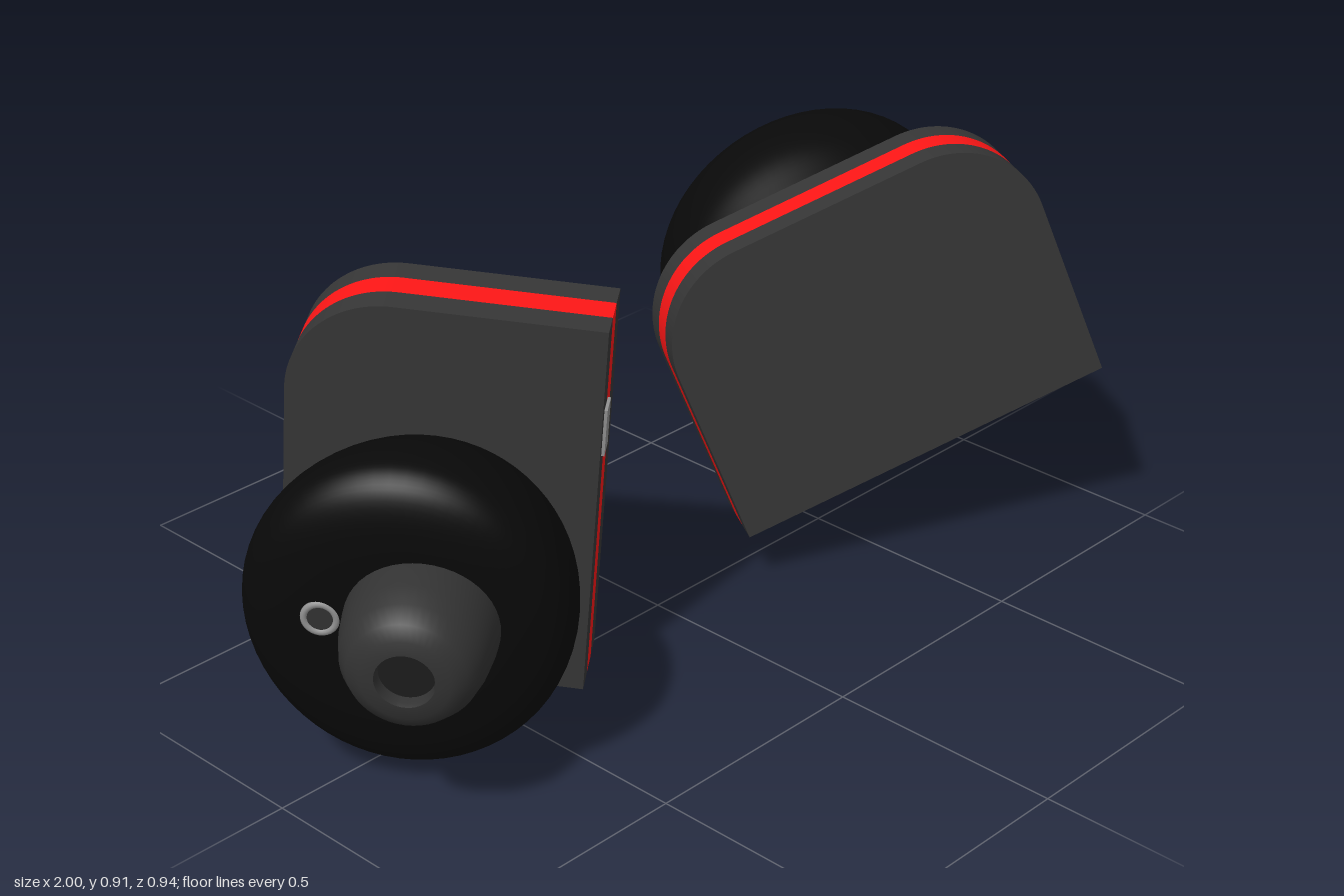
import * as THREE from 'three';
import { toCreasedNormals } from 'three/addons/utils/BufferGeometryUtils.js';

const mat = (color) => new THREE.MeshStandardMaterial({ color });
const shellMat = mat(0x363636), redMat = mat(0xfc1616), bodyMat = mat(0x090909);
const nozzleMat = mat(0x333333), metalMat = mat(0x909090), holeMat = mat(0x1c1c1c);

const WIDTH = 0.81, HEIGHT = 0.6, LAYER = 0.0563;

function add(parent, name, geometry, material, x = 0, y = 0, z = 0) {
  const mesh = new THREE.Mesh(geometry, material);
  mesh.name = name;
  mesh.position.set(x, y, z);
  parent.add(mesh);
  return mesh;
}

// Lathe turned so that its axis runs along z
function turned(points, segments = 64) {
  const pts = points.map(([r, z]) => new THREE.Vector2(r, z));
  return new THREE.LatheGeometry(pts, segments).rotateX(Math.PI / 2);
}

// Plate outline: square corners on the lower edge, round ones on the upper edge
function plateShape() {
  const w = WIDTH / 2, h = HEIGHT / 2, r = 0.2;
  const s = new THREE.Shape();
  s.moveTo(-w, -h);
  s.lineTo(w, -h);
  s.lineTo(w, h - r);
  s.absarc(w - r, h - r, r, 0, Math.PI / 2, false);
  s.lineTo(-w + r, h);
  s.absarc(-w + r, h - r, r, Math.PI / 2, Math.PI, false);
  s.closePath();
  return s;
}

// Ear-side shell: flares from the plate to a wide, slanted face
function bodyGeometry() {
  const profile = [[0.13, 0.16], [0.19, 0.215], [0.236, 0.28], [0.277, 0.345], [0.3, 0.41],
    [0.307, 0.47], [0.297, 0.515], [0.265, 0.55], [0.2, 0.573], [0.1, 0.584], [0.001, 0.587]];
  const curve = new THREE.SplineCurve(profile.map(([r, z]) => new THREE.Vector2(r, z)));
  const g = turned(curve.getPoints(50).map((p) => [Math.max(p.x, 0), p.y]));
  const p = g.attributes.position;
  for (let i = 0; i < p.count; i++) {
    const x = p.getX(i), y = p.getY(i), z = p.getZ(i);
    const k = THREE.MathUtils.smoothstep(z, 0.17, 0.5);
    p.setX(i, x * (x > 0 ? 1.11 : 1.1) - 0.04 + 0.02 * k);
    p.setY(i, y - 0.03 * (1 - k));
    p.setZ(i, z + (0.08 * x + 0.17 * x * x) * k);
  }
  g.computeVertexNormals();
  // Close the shading seam of the lathe
  const n = g.attributes.normal, row = 51;
  for (let j = 0; j < row; j++) {
    const a = new THREE.Vector3().fromBufferAttribute(n, j);
    const b = new THREE.Vector3().fromBufferAttribute(n, p.count - row + j);
    a.add(b).normalize();
    n.setXYZ(j, a.x, a.y, a.z);
    n.setXYZ(p.count - row + j, a.x, a.y, a.z);
  }
  return g;
}

// One earbud: plate in local xy, ear side along +z
function createBud(name, side) {
  const bud = new THREE.Group();
  bud.name = name;

  // Three-layer plate
  ['outerPlate', 'redBand', 'innerPlate'].forEach((part, i) => {
    const g = new THREE.ExtrudeGeometry(plateShape(), { depth: LAYER, bevelEnabled: false, curveSegments: 20 });
    add(bud, part, toCreasedNormals(g, 0.5), i === 1 ? redMat : shellMat, 0, 0, i * LAYER);
  });

  // Small contact on the straight edge
  add(bud, 'edgeContact', new THREE.BoxGeometry(0.1, 0.02, 0.05), metalMat, side * 0.175, -HEIGHT / 2 + 0.004, 0.122);

  // Ear side, turned half round on the second bud
  const ear = new THREE.Group();
  ear.name = 'earSide';
  ear.position.x = -0.015;
  if (side < 0) ear.rotation.z = Math.PI;
  bud.add(ear);
  add(ear, 'body', bodyGeometry(), bodyMat);

  // Nozzle with a recessed bore
  const nozzle = [[0.142, 0.53], [0.142, 0.6], [0.137, 0.655], [0.127, 0.7], [0.108, 0.735],
    [0.082, 0.751], [0.055, 0.754], [0.052, 0.745], [0.052, 0.725]];
  add(ear, 'nozzle', toCreasedNormals(turned(nozzle, 48), 0.7), nozzleMat, 0.018, -0.042, 0);
  add(ear, 'nozzleBore', new THREE.CircleGeometry(0.054, 32), holeMat, 0.018, -0.042, 0.727);

  // Vent beside the nozzle
  add(ear, 'ventRing', new THREE.TorusGeometry(0.03, 0.007, 10, 28), metalMat, 0.006, 0.142, 0.582);
  add(ear, 'ventHole', new THREE.CircleGeometry(0.029, 24), nozzleMat, 0.006, 0.142, 0.585);
  return bud;
}

// Place a bud by its centre, plate up direction and ear-side direction
function place(bud, centre, up, ear) {
  const z = new THREE.Vector3(...ear).normalize();
  const x = new THREE.Vector3(...up).cross(z).normalize();
  const y = z.clone().cross(x);
  bud.quaternion.setFromRotationMatrix(new THREE.Matrix4().makeBasis(x, y, z));
  bud.position.set(...centre);
  return bud;
}

export function createModel() {
  const model = new THREE.Group();
  model.name = 'earbuds';
  model.add(
    place(createBud('rightEarbud', 1), [-0.381, 0.439, -0.183], [-0.607, 0.079, -0.789], [-0.793, -0.065, 0.604]),
    place(createBud('leftEarbud', -1), [0.426, 0.543, 0.207], [-0.275, 0.93, -0.243], [0.54, -0.06, -0.84]),
  );
  return model;
}
